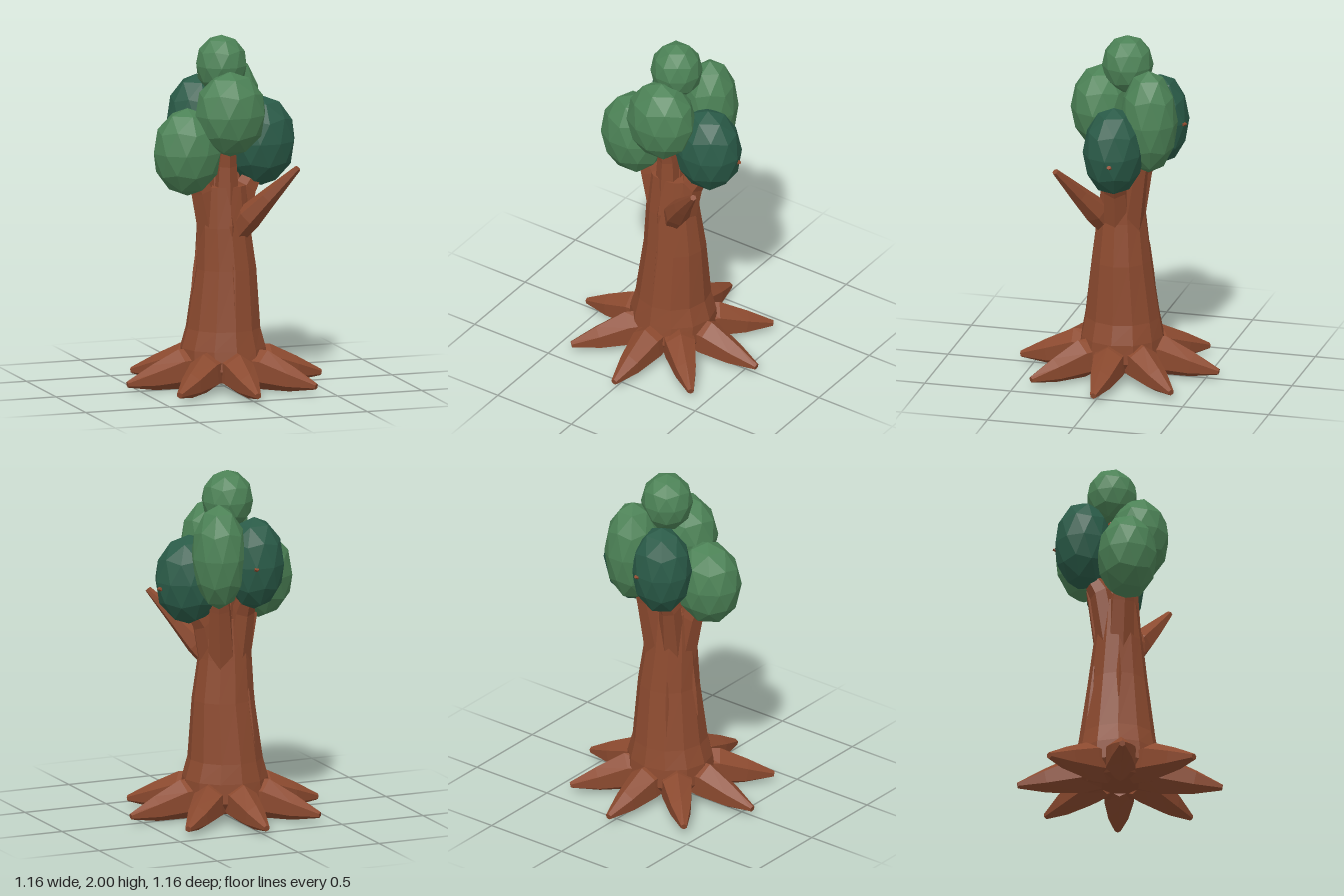
import * as THREE from 'three';

const bark = new THREE.MeshStandardMaterial({ color: 0x8c4a2f });
bark.name = 'bark brown';
const leafLight = new THREE.MeshStandardMaterial({ color: 0x4c8256 });
leafLight.name = 'light leaf green';
const leafDark = new THREE.MeshStandardMaterial({ color: 0x2a5b48 });
leafDark.name = 'dark leaf green';

// Faceted, capped loft through sections [x, y, z, halfWidth, halfDepth]
function loft(sections, sides) {
  const first = new THREE.Vector3(...sections[0]);
  const last = new THREE.Vector3(...sections[sections.length - 1]);
  const dir = last.clone().sub(first).normalize();
  const u = new THREE.Vector3().crossVectors(dir, new THREE.Vector3(0, 1, 0));
  if (u.length() < 0.1) u.set(1, 0, 0);
  u.normalize();
  const v = new THREE.Vector3().crossVectors(dir, u);
  const pos = [], index = [];
  for (const [x, y, z, a, b = a] of sections) {
    for (let j = 0; j < sides; j++) {
      const t = Math.PI / 2 + (j / sides) * Math.PI * 2;
      const p = new THREE.Vector3(x, y, z)
        .addScaledVector(u, a * Math.cos(t)).addScaledVector(v, b * Math.sin(t));
      pos.push(p.x, p.y, p.z);
    }
  }
  const n = sections.length, base = n * sides, top = (n - 1) * sides;
  pos.push(first.x, first.y, first.z, last.x, last.y, last.z);
  for (let j = 0; j < sides; j++) {
    const k = (j + 1) % sides;
    for (let i = 0; i < n - 1; i++) {
      const r = i * sides, s = r + sides;
      index.push(r + j, r + k, s + k, r + j, s + k, s + j);
    }
    index.push(base, k, j, base + 1, top + j, top + k);
  }
  const indexed = new THREE.BufferGeometry();
  indexed.setAttribute('position', new THREE.Float32BufferAttribute(pos, 3));
  indexed.setIndex(index);
  const geo = indexed.toNonIndexed();
  geo.computeVertexNormals();
  return geo;
}

// Faceted ellipsoid with a vertex at its top
function leafBall(rx, ry, rz) {
  const geo = new THREE.IcosahedronGeometry(1, 1);
  geo.rotateX(-Math.atan((1 + Math.sqrt(5)) / 2));
  geo.scale(rx, ry, rz);
  geo.computeVertexNormals();
  return geo;
}

export function createModel() {
  const tree = new THREE.Group();
  tree.name = 'tree';
  const add = (name, geo, mat) => {
    const mesh = new THREE.Mesh(geo, mat);
    mesh.name = name;
    tree.add(mesh);
    return mesh;
  };

  // Trunk
  add('trunk', loft([
    [0, 0.05, 0, 0.2, 0.2],
    [0, 0.12, -0.01, 0.25, 0.25],
    [0, 0.23, -0.015, 0.245, 0.235],
    [0, 0.34, -0.015, 0.212, 0.215],
    [0.012, 0.68, -0.012, 0.178, 0.17],
    [0, 0.92, -0.01, 0.155, 0.14],
    [0, 1.15, -0.01, 0.14, 0.11],
  ], 12), bark);

  // Eight spreading roots
  for (let i = 0; i < 8; i++) {
    const a = (i * Math.PI) / 4, c = Math.cos(a), s = Math.sin(a);
    const root = [
      [0.12, 0.13, 0.1, 0.1],
      [0.25, 0.115, 0.095, 0.115],
      [0.42, 0.075, 0.065, 0.073],
      [0.575, 0.045, 0.019, 0.018],
    ].map(([r, y, w, h]) => [r * c, y, r * s, w, h]);
    add('root', loft(root, 6), bark);
  }

  // Branches carrying the foliage
  const branches = [
    [[-0.075, 0.86, 0, 0.08], [-0.135, 1.13, 0.01, 0.07], [-0.23, 1.36, 0.03, 0.03]],
    [[0.075, 0.86, 0, 0.08], [0.135, 1.13, -0.01, 0.07], [0.24, 1.28, -0.03, 0.04], [0.425, 1.36, -0.05, 0.013]],
    [[0, 0.9, 0.04, 0.085], [0, 1.27, 0.04, 0.06], [0, 1.5, 0.09, 0.03]],
    [[0.04, 0.86, -0.06, 0.085], [0.08, 1.22, -0.12, 0.065], [0.12, 1.5, -0.2, 0.03]],
    [[-0.05, 0.86, -0.05, 0.08], [-0.07, 1.2, -0.11, 0.065], [-0.07, 1.4, -0.22, 0.03], [-0.035, 1.495, -0.368, 0.014]],
    [[0, 1.1, -0.02, 0.08], [0, 1.45, -0.04, 0.05], [0, 1.8, -0.04, 0.02]],
  ];
  for (const b of branches) add('branch', loft(b, 6), bark);

  // Bare limb at the front
  add('bareLimb', loft([
    [0.05, 0.88, 0.06, 0.06], [0.11, 0.98, 0.11, 0.075],
    [0.2, 1.1, 0.185, 0.052], [0.34, 1.275, 0.285, 0.018],
  ], 6), bark);

  // Narrow bark ridges: x, z, bottom, top
  for (const [x, z, lo, hi] of [
    [0, 0.165, 0.3, 0.72], [0, 0.128, 0.88, 0.99], [-0.168, -0.01, 0.52, 0.82],
    [0.18, -0.04, 0.3, 0.6], [-0.09, -0.16, 0.4, 0.75],
  ]) {
    const y = (lo + hi) / 2, k = 0.16 * (y - lo);
    const out = new THREE.Vector3(x, 0, z).normalize();
    add('barkRidge', loft([
      [x + out.x * k, lo, z + out.z * k, 0.004],
      [x, y, z, 0.014],
      [x - out.x * k * 0.5, hi, z - out.z * k * 0.5, 0.004],
    ], 4), bark);
  }

  // Foliage: name, centre, radii, colour
  for (const [name, centre, radii, mat] of [
    ['topFoliage', [0, 1.83, -0.045], [0.148, 0.17, 0.145], leafLight],
    ['frontFoliage', [0, 1.573, 0.105], [0.208, 0.242, 0.173], leafLight],
    ['rightFoliage', [-0.23, 1.36, 0.035], [0.2, 0.25, 0.172], leafLight],
    ['leftFoliage', [0.228, 1.388, -0.025], [0.2, 0.257, 0.172], leafDark],
    ['backLeftFoliage', [0.122, 1.543, -0.2], [0.158, 0.302, 0.165], leafLight],
    ['backRightFoliage', [-0.09, 1.49, -0.208], [0.175, 0.265, 0.165], leafDark],
  ]) add(name, leafBall(...radii), mat).position.set(...centre);

  return tree;
}
